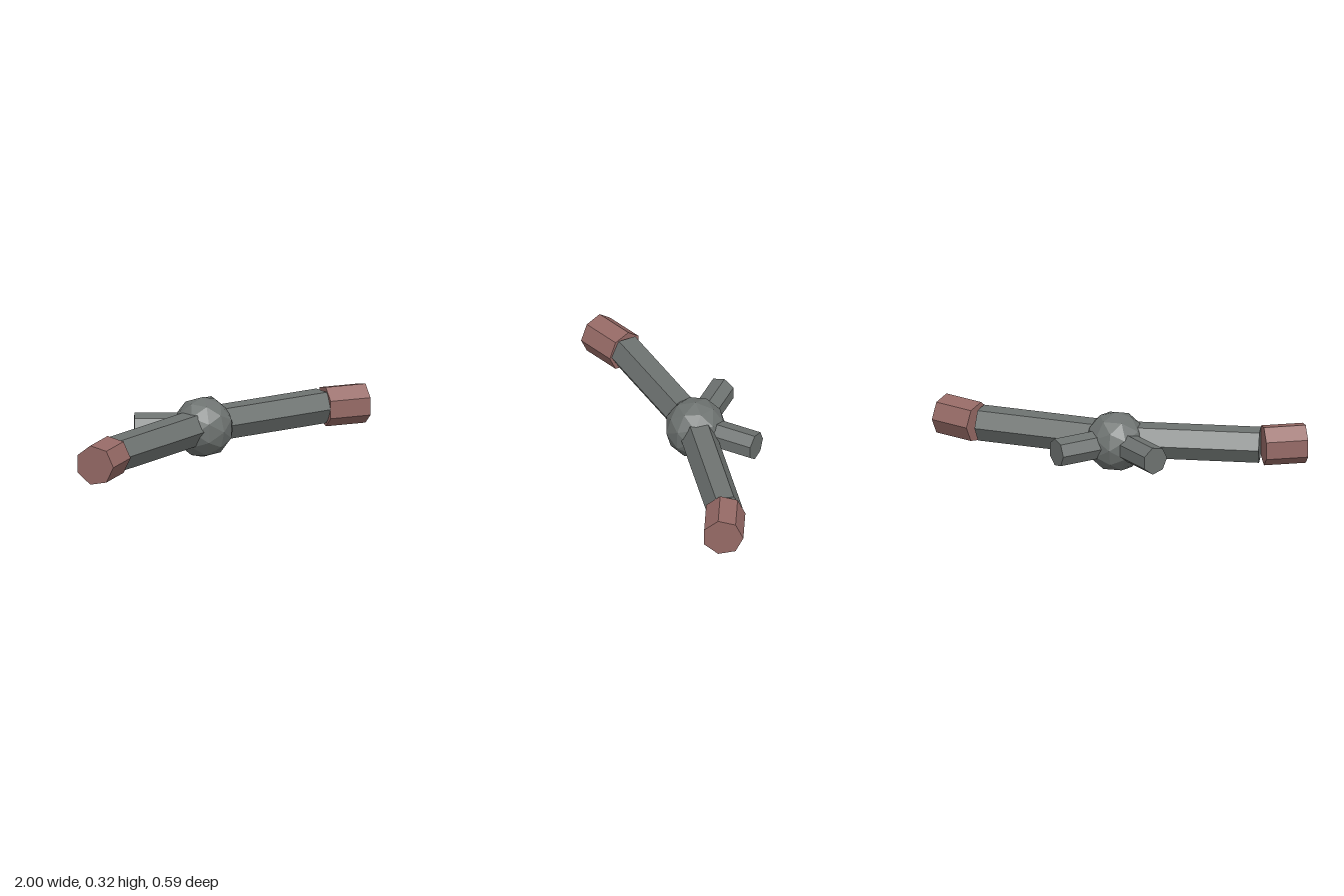
import * as THREE from 'three';

export function createModel() {
  const model = new THREE.Group();
  const grey = new THREE.MeshStandardMaterial({ color: 0x6e7371, flatShading: true });
  grey.name = 'stone grey';
  const red = new THREE.MeshStandardMaterial({ color: 0x966a66, flatShading: true });
  red.name = 'dusty red';

  // Closed prism between two points, with one corner pointing sideways
  function rod(name, from, to, radius, sides, material) {
    const a = new THREE.Vector3(...from);
    const b = new THREE.Vector3(...to);
    const along = b.clone().sub(a);
    const mesh = new THREE.Mesh(
      new THREE.CylinderGeometry(radius, radius, along.length(), sides), material);
    along.normalize();
    const corner = new THREE.Vector3(along.z, 0, -along.x).normalize();
    const third = new THREE.Vector3().crossVectors(along, corner);
    mesh.quaternion.setFromRotationMatrix(new THREE.Matrix4().makeBasis(third, along, corner));
    mesh.position.copy(a).add(b).multiplyScalar(0.5);
    mesh.name = name;
    model.add(mesh);
  }

  // Faceted central hub
  const hub = new THREE.Mesh(new THREE.IcosahedronGeometry(0.16, 1), grey);
  hub.name = 'hub';
  hub.position.y = 0.161;
  model.add(hub);

  // Arms, grips and rear stubs on both sides
  for (const [side, s] of [['left', 1], ['right', -1]]) {
    rod(side + 'Arm', [0, 0.172, 0.004], [s * 0.742, 0.1625, 0.107], 0.095, 6, grey);
    rod(side + 'Grip', [s * 0.757, 0.161, 0.113], [s * 0.96, 0.161, 0.198], 0.107, 7, red);
    rod(side + 'RearStub', [0, 0.161, 0], [s * 0.263, 0.161, -0.24], 0.075, 7, grey);
  }
  return model;
}
